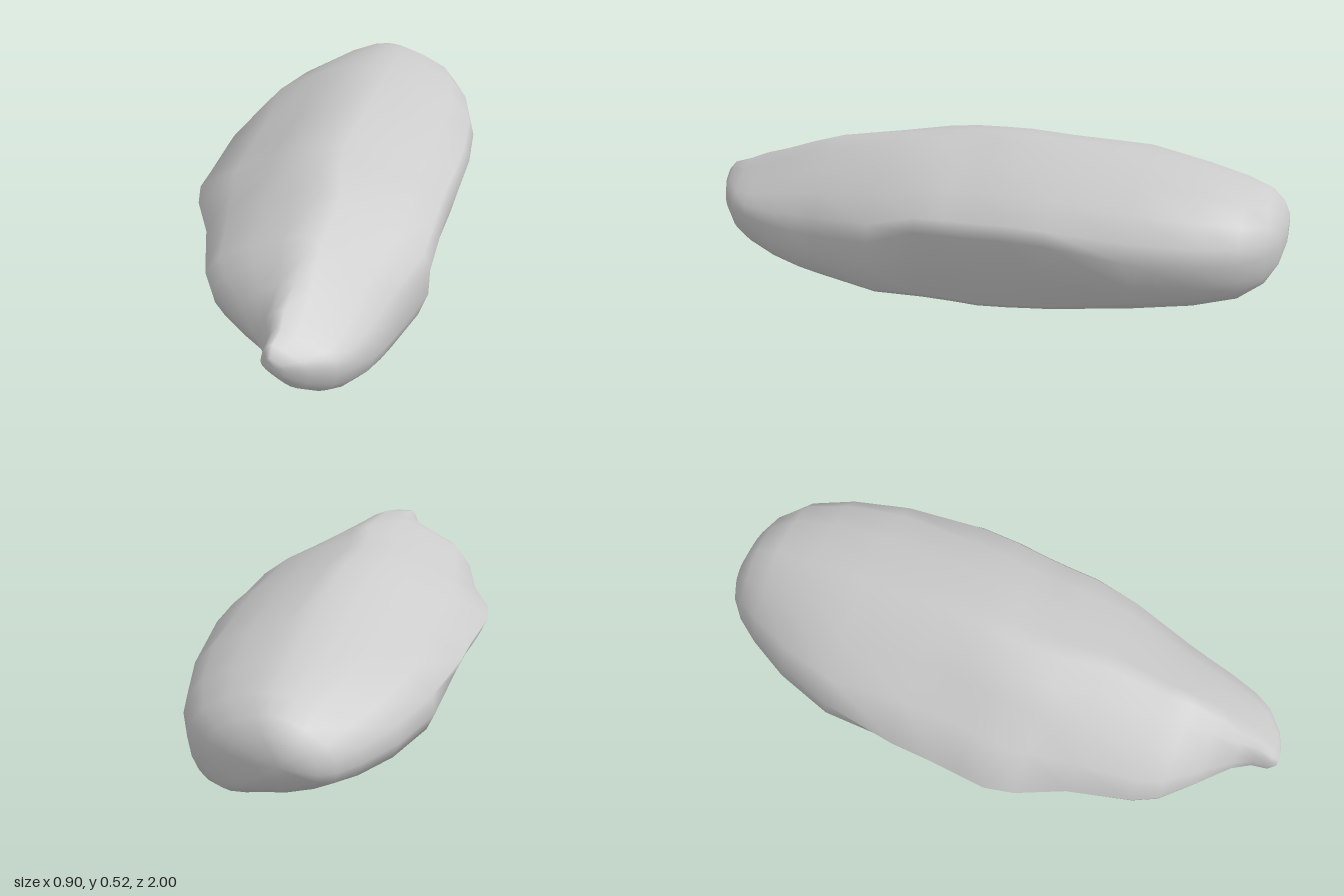
import * as THREE from 'three';

// Cross-sections in a unit box, counter-clockwise seen from the front
const middle = [
  [0, 0.57], [0.03, 0.45], [0.08, 0.33], [0.22, 0.24], [0.4, 0.175], [0.56, 0.14], [0.69, 0.04],
  [0.82, 0.005], [0.88, 0], [0.915, 0.05], [0.96, 0.3], [1, 0.56], [0.975, 0.65], [0.87, 0.79],
  [0.73, 0.9], [0.59, 0.985], [0.52, 1], [0.4, 0.96], [0.3, 0.865], [0.15, 0.73],
];
const front = [
  [0, 0.57], [0.02, 0.45], [0.07, 0.34], [0.21, 0.25], [0.4, 0.17], [0.56, 0.12], [0.7, 0.03],
  [0.83, 0], [0.91, 0.01], [0.96, 0.07], [1, 0.22], [0.99, 0.4], [0.96, 0.54], [0.86, 0.69],
  [0.73, 0.82], [0.6, 0.95], [0.52, 1], [0.4, 0.95], [0.24, 0.85], [0.08, 0.73],
];
const nose = [
  [0, 0.57], [0.03, 0.48], [0.1, 0.39], [0.21, 0.29], [0.34, 0.19], [0.47, 0.1], [0.6, 0.03],
  [0.74, 0], [0.86, 0.04], [0.95, 0.15], [1, 0.32], [0.99, 0.45], [0.95, 0.56], [0.82, 0.67],
  [0.66, 0.77], [0.45, 0.9], [0.25, 1], [0.15, 0.98], [0.07, 0.86], [0.02, 0.7],
];
const rear = [
  [0.015, 0.55], [0, 0.4], [0.03, 0.27], [0.19, 0.18], [0.4, 0.1], [0.56, 0.07], [0.69, 0.02],
  [0.82, 0], [0.89, 0.03], [0.94, 0.12], [0.98, 0.26], [1, 0.45], [0.98, 0.6], [0.9, 0.77],
  [0.75, 0.9], [0.6, 0.98], [0.5, 1], [0.38, 0.97], [0.25, 0.88], [0.09, 0.72],
];

// Extents along the length: z, x left, x right, y bottom, y top
const stations = [
  [1, -0.01, 0.05, 0.215, 0.285],
  [0.975, -0.03, 0.12, 0.165, 0.315],
  [0.92, -0.035, 0.195, 0.12, 0.335],
  [0.86, -0.07, 0.235, 0.09, 0.36],
  [0.76, -0.17, 0.275, 0.06, 0.395],
  [0.66, -0.265, 0.305, 0.04, 0.43],
  [0.58, -0.305, 0.33, 0.03, 0.452],
  [0.36, -0.36, 0.4, 0.01, 0.488],
  [0.2, -0.43, 0.41, 0.005, 0.502],
  [0.1, -0.45, 0.416, 0.002, 0.51],
  [0, -0.44, 0.425, 0, 0.516],
  [-0.1, -0.43, 0.437, 0.01, 0.52],
  [-0.25, -0.42, 0.447, 0.025, 0.512],
  [-0.52, -0.38, 0.432, 0.046, 0.497],
  [-0.72, -0.305, 0.39, 0.066, 0.46],
  [-0.86, -0.225, 0.33, 0.088, 0.43],
  [-0.94, -0.165, 0.25, 0.115, 0.395],
  [-0.98, -0.115, 0.17, 0.16, 0.35],
  [-1, -0.06, 0.07, 0.215, 0.3],
];

// Point j of the section at z, blended from the four shapes
function sectionPoint(z, j) {
  const p = new THREE.Vector2(...middle[j]);
  p.lerp(new THREE.Vector2(...front[j]), THREE.MathUtils.smoothstep(z, 0.2, 0.45));
  p.lerp(new THREE.Vector2(...nose[j]), THREE.MathUtils.smoothstep(z, 0.68, 0.92));
  p.lerp(new THREE.Vector2(...rear[j]), THREE.MathUtils.smoothstep(-z, 0.2, 0.6));
  // The rear end grows rounder
  const centre = new THREE.Vector2(0.5, 0.5);
  const circle = p.clone().sub(centre).setLength(0.5).add(centre);
  return p.lerp(circle, 0.4 * THREE.MathUtils.smoothstep(-z, 0.87, 1));
}

function loftGeometry() {
  const n = middle.length, rows = stations.length;
  const positions = [], indices = [];
  for (const [z, x0, x1, y0, y1] of stations) {
    for (let j = 0; j < n; j++) {
      const p = sectionPoint(z, j);
      positions.push(x0 + (x1 - x0) * p.x, y0 + (y1 - y0) * p.y, z);
    }
  }
  for (let i = 0; i < rows - 1; i++) {
    for (let j = 0; j < n; j++) {
      const k = (j + 1) % n;
      const a = i * n + j, b = i * n + k, c = a + n, d = b + n;
      indices.push(a, c, b, b, c, d);
    }
  }
  // Close both tips with a fan
  const tip = rows * n, tail = tip + 1, last = (rows - 1) * n;
  for (const [z, x0, x1, y0, y1] of [stations[0], stations[rows - 1]]) {
    positions.push((x0 + x1) / 2, (y0 + y1) / 2, z);
  }
  for (let j = 0; j < n; j++) {
    const k = (j + 1) % n;
    indices.push(tip, j, k, tail, last + k, last + j);
  }
  const geometry = new THREE.BufferGeometry();
  geometry.setAttribute('position', new THREE.Float32BufferAttribute(positions, 3));
  geometry.setIndex(indices);
  geometry.computeVertexNormals();
  return geometry;
}

export function createModel() {
  const group = new THREE.Group();
  group.name = 'rock';
  const boulder = new THREE.Mesh(loftGeometry(), new THREE.MeshStandardMaterial({ color: 0xcccccc }));
  boulder.name = 'boulder';
  group.add(boulder);
  return group;
}
